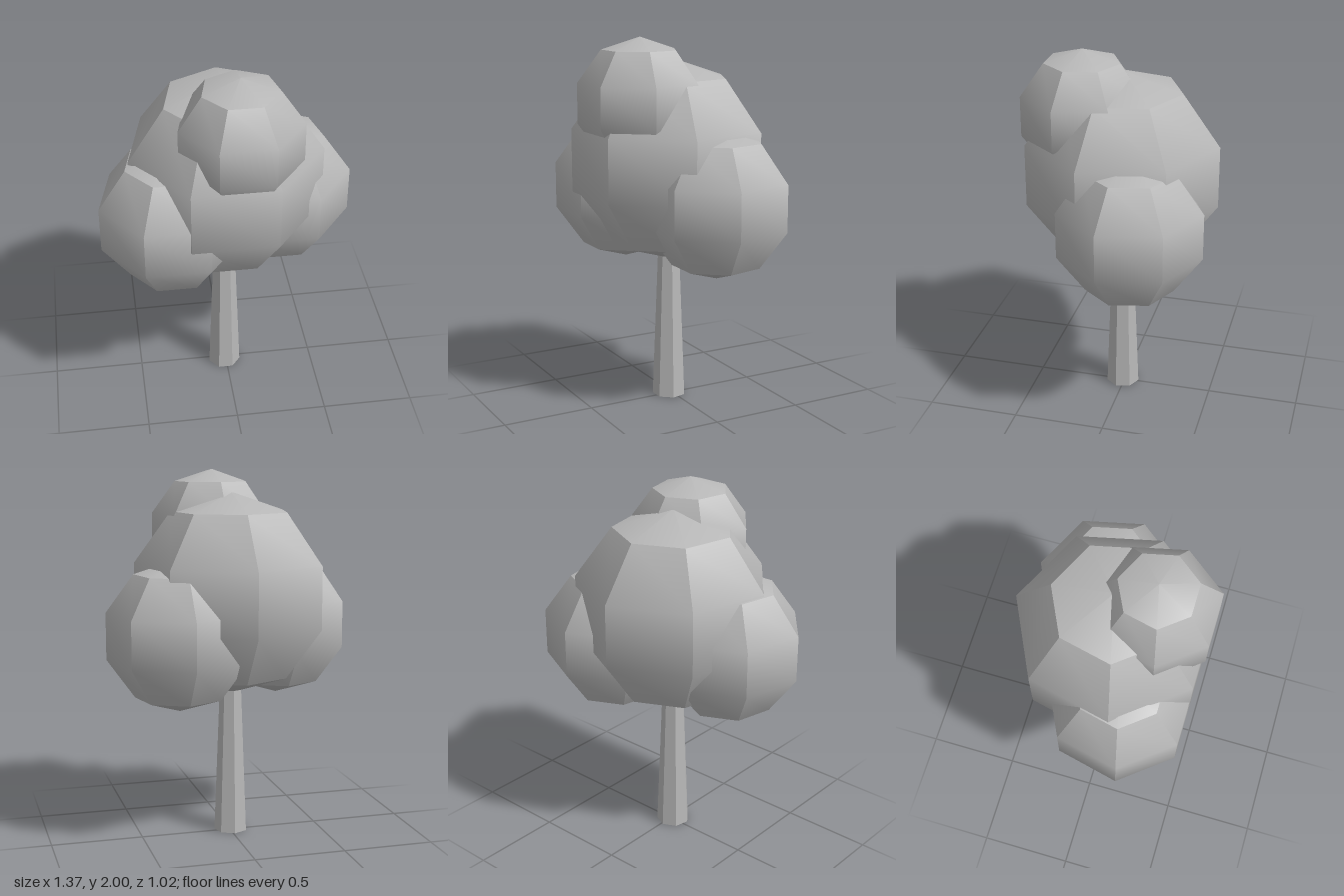
import * as THREE from 'three';
import { toCreasedNormals } from 'three/addons/utils/BufferGeometryUtils.js';

const SIDES = 7;
const CREASE = THREE.MathUtils.degToRad(35);

export function createModel() {
  const tree = new THREE.Group();
  tree.name = 'tree';
  const grey = new THREE.MeshStandardMaterial({ color: 0xb8b8b8 });
  grey.name = 'plain grey';

  function add(name, geometry, x, y, z) {
    const mesh = new THREE.Mesh(toCreasedNormals(geometry, CREASE), grey);
    mesh.name = name;
    mesh.position.set(x, y, z);
    tree.add(mesh);
  }

  // Tapered seven-sided trunk, reaching up into the crown, one corner at the back
  const trunkHeight = 1.0;
  const trunk = new THREE.CylinderGeometry(0.054, 0.0925, trunkHeight, SIDES);
  trunk.rotateY(Math.PI);
  add('trunk', trunk, -0.01, trunkHeight / 2, 0.012);

  // Foliage clumps: faceted balls with a flat side to the front
  const clumps = [
    ['mainFoliage', 0.55, -0.01, 1.335, 0.013],
    ['topFoliage', 0.345, 0.045, 1.655, 0.213],
    ['rightFoliage', 0.41, -0.305, 1.16, 0.129],
    ['leftFoliage', 0.408, 0.305, 1.135, -0.105],
  ];
  for (const [name, radius, x, y, z] of clumps) {
    const ball = new THREE.SphereGeometry(radius, SIDES, 5);
    ball.rotateY(-Math.PI / 2);
    add(name, ball, x, y, z);
  }
  return tree;
}
